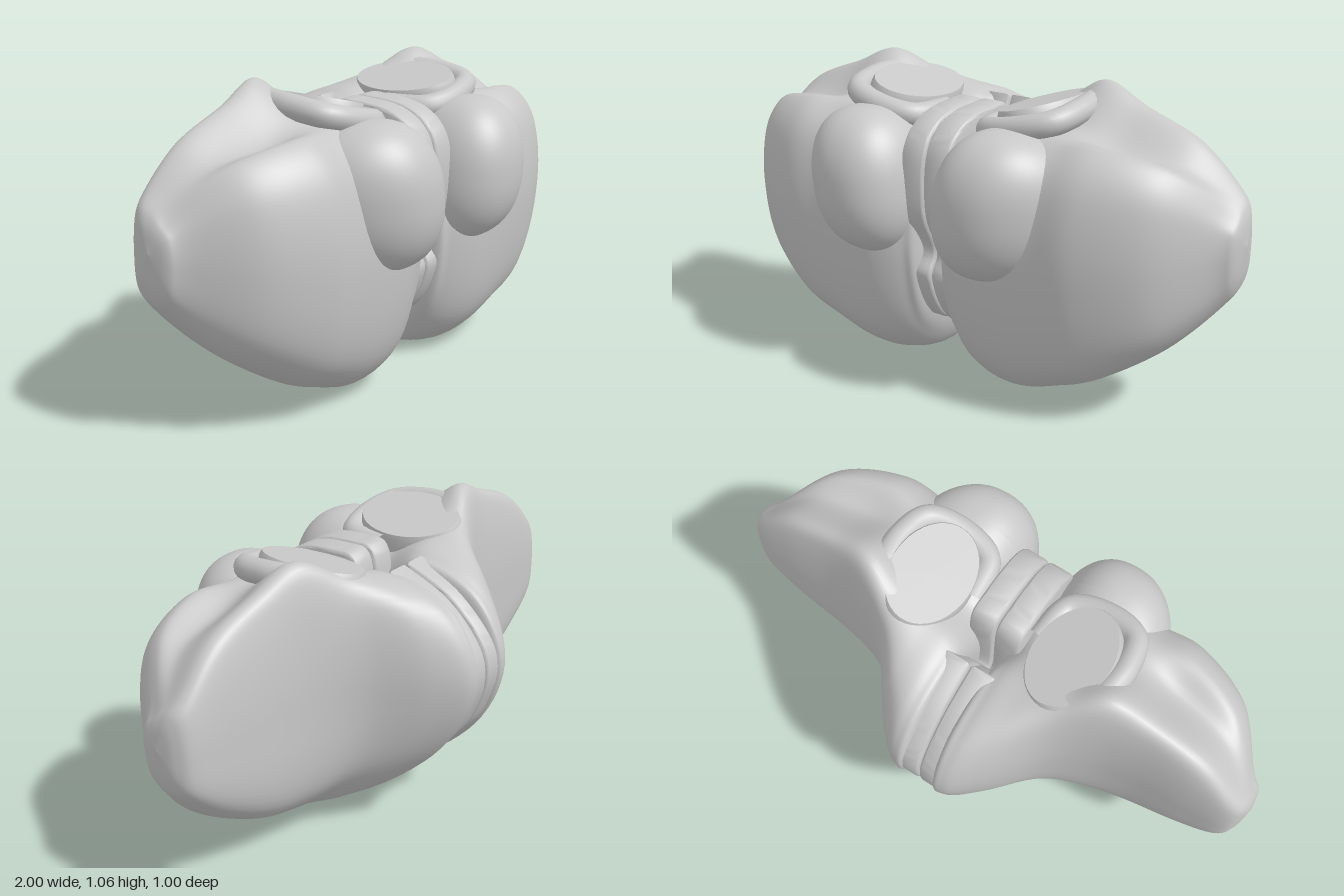
import * as THREE from 'three';
import { mergeVertices, toCreasedNormals } from 'three/addons/utils/BufferGeometryUtils.js';

const V = (x, y, z) => new THREE.Vector3(x, y, z);
const mix = THREE.MathUtils.lerp;

// Hemisphere from the midline outwards:
// x, ridge z, ridge y, back z, bottom y, front z, front rim y, groove y
const SECTIONS = [
  [0.05, -.16, .87, -.45, .21, .28, .80, .76],
  [0.10, -.15, .93, -.50, .05, .34, .88, .85],
  [0.20, -.14, .96, -.41, .01, .38, .91, .90],
  [0.32, -.11, 1.0, -.25, .02, .385, .91, .93],
  [0.45, -.06, 1.06, -.165, .06, .385, .91, .94],
  [0.60, -.04, 1.00, -.125, .125, .38, .92, .89],
  [0.80, -.04, .92, -.115, .265, .29, .87, .86],
  [0.94, -.05, .79, -.10, .42, .12, .74, .77],
];

// Loop of one section: ridge, back, bottom, front, rim, groove
function sectionLoop([x, ridgeZ, ridgeY, back, bottom, front, rimY, grooveY]) {
  const outer = THREE.MathUtils.smoothstep(x, 0.2, 0.6);
  const backY = 0.61, frontY = 0.43 + 0.17 * x;
  const bottomZ = mix(back, front, mix(0.58, 0.5, outer)), rimZ = mix(front, bottomZ, 0.55);
  return [
    V(x, ridgeY, ridgeZ),
    V(x, mix(ridgeY, backY, 0.24), mix(ridgeZ, back, 0.7)),
    V(x, backY, back),
    V(x, mix(backY, bottom, mix(0.53, 0.74, outer)), mix(back, bottomZ, mix(0.1 - 0.35 * back, 0.13, outer))),
    V(x, bottom, bottomZ),
    V(x, mix(bottom, frontY, 0.25), mix(front, bottomZ, 0.24)),
    V(x, frontY, front),
    V(x, mix(frontY, rimY, 0.68), mix(front, rimZ, 0.24)),
    V(x, rimY, rimZ),
    V(x, grooveY, mix(ridgeZ, rimZ, 0.55)),
  ];
}

// Smooth loft through the sections, closed at both ends
function hemisphereGeometry() {
  const rings = SECTIONS.map(sectionLoop);
  const shrink = (ring, k, x) => {
    const c = ring.reduce((s, p) => s.add(p), V(0, 0, 0)).divideScalar(ring.length);
    return ring.map(p => c.clone().lerp(p, k).setX(x));
  };
  const last = rings[rings.length - 1];
  rings.push(shrink(last, 0.6, 0.985), shrink(last, 0, 1));
  rings.unshift(shrink(rings[0], 0, 0.05));

  const rails = rings[0].map((_, k) => new THREE.CatmullRomCurve3(rings.map(r => r[k]), false, 'catmullrom', 0.5));
  const rows = 80, cols = 80, pos = [], index = [];
  for (let i = 0; i <= rows; i++) {
    const loop = new THREE.CatmullRomCurve3(rails.map(r => r.getPoint(i / rows)), true, 'catmullrom', 0.5);
    for (let j = 0; j < cols; j++) pos.push(...loop.getPoint(j / cols).toArray());
  }
  for (let i = 0; i < rows; i++) for (let j = 0; j < cols; j++) {
    const k = (j + 1) % cols, a = i * cols + j, b = a + cols, c = (i + 1) * cols + k, d = i * cols + k;
    index.push(a, b, c, a, c, d);
  }
  const g = new THREE.BufferGeometry();
  g.setAttribute('position', new THREE.Float32BufferAttribute(pos, 3));
  g.setIndex(index);
  g.computeVertexNormals();
  return g;
}

// Blunt egg whose outer side flares into the hemisphere behind it
function tonsilGeometry() {
  const g = new THREE.SphereGeometry(1, 48, 36), p = g.attributes.position;
  const blunt = v => Math.sign(v) * Math.abs(v) ** 0.88;
  for (let i = 0; i < p.count; i++) {
    const x = blunt(p.getX(i)), y = blunt(p.getY(i)), z = blunt(p.getZ(i));
    const flare = 0.06 * (1 - z) * Math.max(x, 0);
    p.setXYZ(i, 0.25 + 0.185 * x + 0.02 * y + flare, 0.69 + 0.25 * y, 0.29 + 0.207 * z);
  }
  g.computeVertexNormals();
  return g;
}

// Narrow folded plate beside the midline, with a deep cleft in its top
function vermisGeometry() {
  const profile = [[-.16, .93], [-.33, .86], [-.45, .75], [-.497, .64], [-.475, .51], [-.39, .36],
    [-.18, .22], [.15, .19], [.25, .24], [.31, .38], [.28, .47], [.34, .62],
    [.33, .82], [.24, .92], [.08, .95], [-.02, .92], [-.05, .66], [-.11, .82]];
  const curve = new THREE.SplineCurve([...profile, profile[0]].map(p => new THREE.Vector2(...p)));
  const g = new THREE.ExtrudeGeometry(new THREE.Shape(curve.getPoints(110)), {
    depth: 0.065, bevelThickness: 0.015, bevelSize: 0.015, bevelOffset: -0.015, bevelSegments: 4,
  });
  g.rotateY(-Math.PI / 2).translate(0.082, 0, 0);
  g.deleteAttribute('uv');
  g.deleteAttribute('normal');
  return mergeVertices(toCreasedNormals(mergeVertices(g), 0.7));
}

// Oval stalk with a flat cut face leaning towards the midline
function peduncleGeometry() {
  const points = [[0, -.2], [1.1, -.2], [1.05, -.05], [1.02, -.015], [.98, 0], [0, 0]];
  const g = new THREE.LatheGeometry(points.map(p => new THREE.Vector2(...p)), 40);
  g.scale(0.14, 1, 0.19);
  g.rotateZ(0.26).translate(0.265, 0.985, 0.02);
  return mergeVertices(toCreasedNormals(g, 0.6));
}

// Soft fold wrapping the front and outer side of the stalk
function foldGeometry() {
  const path = [[.13, .9, .04], [.16, .905, .19], [.28, .93, .225], [.4, .96, .19], [.43, .98, .08], [.42, .99, -.04]];
  return new THREE.TubeGeometry(new THREE.CatmullRomCurve3(path.map(p => V(...p))), 48, 0.042, 14);
}

// Reflected copy across x = 0 with its faces turned outwards again
function mirrored(geometry) {
  const g = geometry.clone().scale(-1, 1, 1), ix = g.index;
  for (let i = 0; i < ix.count; i += 3) {
    const a = ix.getX(i);
    ix.setX(i, ix.getX(i + 1));
    ix.setX(i + 1, a);
  }
  return g;
}

export function createModel() {
  const tissue = new THREE.MeshStandardMaterial({ color: 0xc8c8c8 });
  tissue.name = 'grey tissue';
  const model = new THREE.Group();
  model.name = 'cerebellum';

  const parts = {
    Hemisphere: hemisphereGeometry(),
    Tonsil: tonsilGeometry(),
    Vermis: vermisGeometry(),
    Peduncle: peduncleGeometry(),
    Fold: foldGeometry(),
  };
  for (const [name, geometry] of Object.entries(parts)) {
    for (const side of ['left', 'right']) {
      const mesh = new THREE.Mesh(side === 'left' ? geometry : mirrored(geometry), tissue);
      mesh.name = side + name;
      model.add(mesh);
    }
  }
  return model;
}
